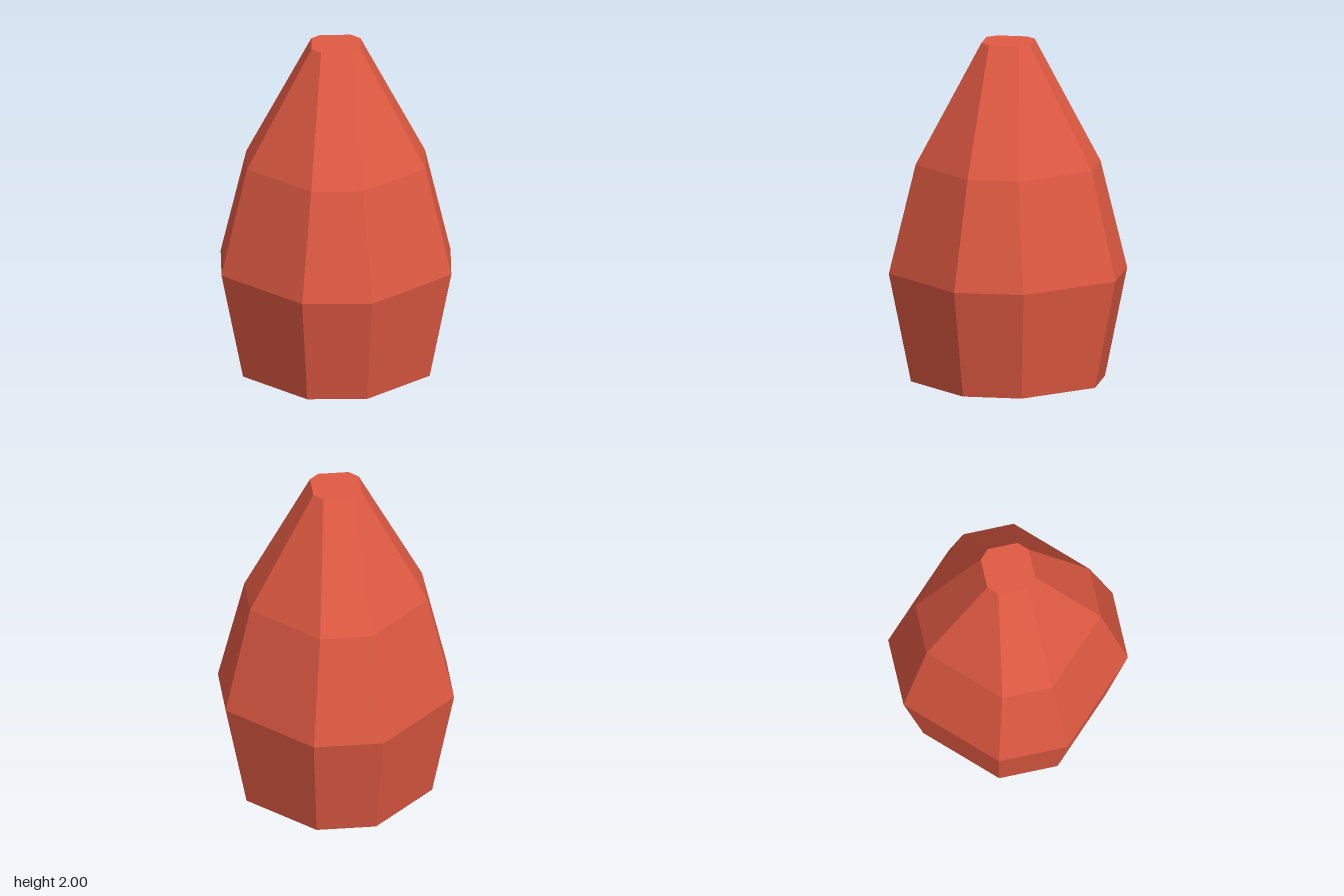
import * as THREE from 'three';

// Octagonal sections from bottom to top: [height, distance to flat side, half width of flat side]
const SECTIONS = [
  [0, 0.505, 0.26],
  [0.64, 0.615, 0.327],
  [1.28, 0.472, 0.26],
  [2, 0.163, 0.038],
];

// Eight corners of a section, counterclockwise seen from above
function ring([y, a, h]) {
  return [[h, a], [a, h], [a, -h], [h, -a], [-h, -a], [-a, -h], [-a, h], [-h, a]]
    .map(([x, z]) => new THREE.Vector3(x, y, z));
}

function facetedBody() {
  const rings = SECTIONS.map(ring);
  const top = rings[rings.length - 1], bottom = rings[0];
  const points = [];
  for (let i = 0; i < 8; i++) {
    const j = (i + 1) % 8;
    // Side facets
    for (let k = 0; k < rings.length - 1; k++) {
      const lo = rings[k], hi = rings[k + 1];
      points.push(lo[i], lo[j], hi[j], lo[i], hi[j], hi[i]);
    }
    // Flat end caps
    if (i > 0 && i < 7) {
      points.push(top[0], top[i], top[j], bottom[0], bottom[j], bottom[i]);
    }
  }
  const geometry = new THREE.BufferGeometry().setFromPoints(points);
  geometry.computeVertexNormals();
  return geometry;
}

export function createModel() {
  const group = new THREE.Group();
  group.name = 'facetedCone';
  const red = new THREE.MeshStandardMaterial({ color: 0xe05a42, flatShading: true });
  red.name = 'coral red';
  const body = new THREE.Mesh(facetedBody(), red);
  body.name = 'body';
  group.add(body);
  return group;
}
